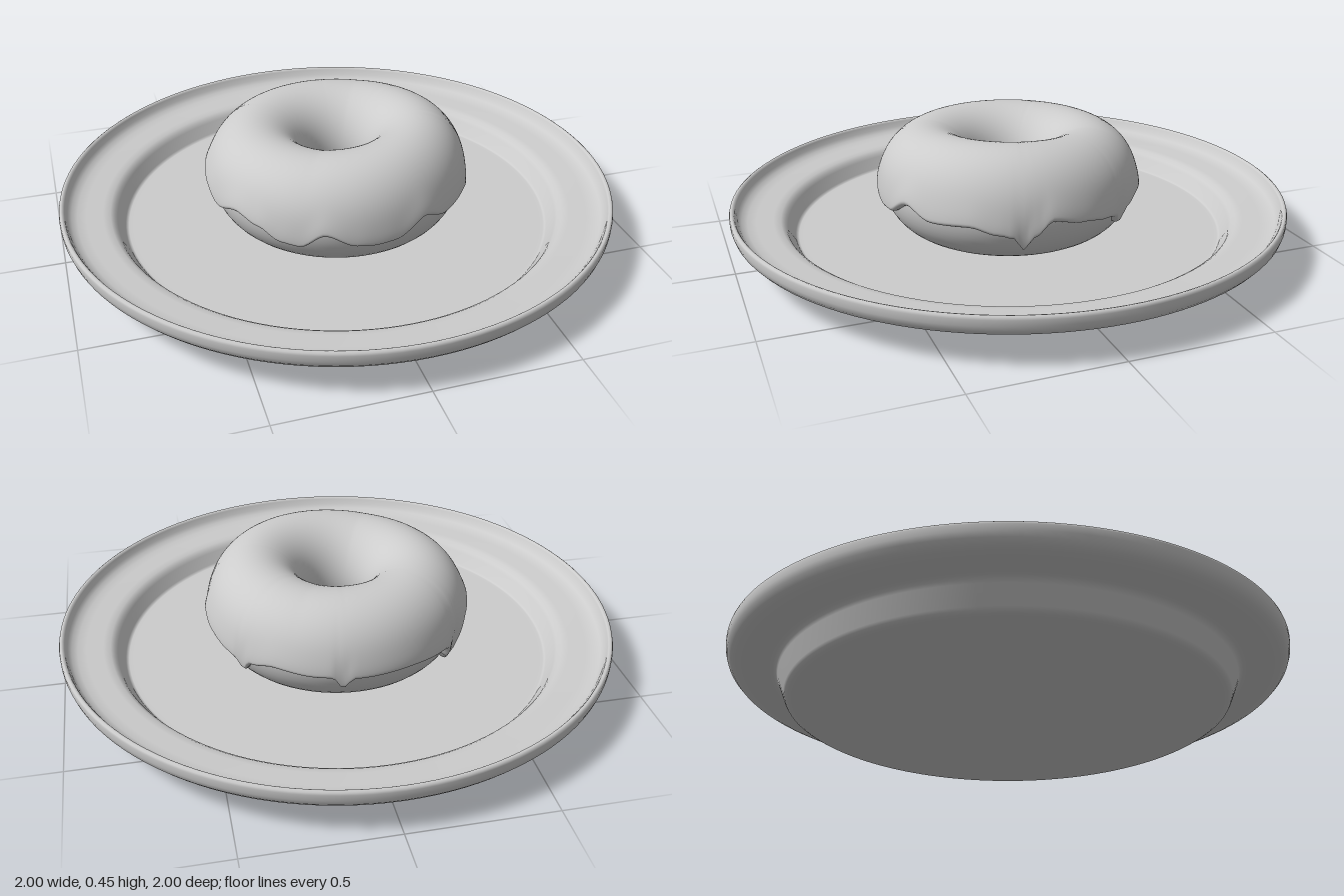
import * as THREE from 'three';

// Doughnut cross-section: ring radius, half width, centre height, half height
const RING = 0.29, HALF_W = 0.165, MID_Y = 0.235, HALF_H = 0.18;
const SEGMENTS = 180;

// Height of the icing's lower edge by angle from the front towards +x (degrees)
const icingEdge = [
  [0, 0.18], [8, 0.185], [23, 0.237], [36, 0.205], [54, 0.212], [66, 0.19], [72, 0.18], [76, 0.135],
  [80, 0.18], [88, 0.23], [102, 0.21], [116, 0.195], [121, 0.19], [125, 0.155], [130, 0.195], [142, 0.215],
  [160, 0.205], [167, 0.205], [171, 0.165], [176, 0.2], [200, 0.205], [222, 0.195], [226, 0.18],
  [230, 0.12], [234, 0.18], [244, 0.23], [257, 0.25], [270, 0.225], [282, 0.2], [298, 0.235],
  [310, 0.215], [320, 0.18], [328, 0.175], [339, 0.225], [352, 0.185], [360, 0.18],
];

function edgeHeight(theta) {
  const deg = THREE.MathUtils.radToDeg(theta);
  const i = Math.max(1, icingEdge.findIndex(([a]) => a >= deg));
  const [a0, h0] = icingEdge[i - 1], [a1, h1] = icingEdge[i];
  return THREE.MathUtils.lerp(h0, h1, THREE.MathUtils.smoothstep(deg, a0, a1));
}

// Point on the doughnut: theta around the ring, phi around the section, pushed out by offset
function ringPoint(theta, phi, offset) {
  const swell = 0.02 * Math.max(0, Math.cos(theta - 1.05)) * Math.max(0, Math.sin(phi));
  const r = RING + (HALF_W + offset) * Math.cos(phi);
  const y = MID_Y + (HALF_H + offset) * Math.sin(phi) + swell;
  return [r * Math.sin(theta), y, r * Math.cos(theta)];
}

// Smooth surface swept around the ring; section(theta, j) gives each point
function sweep(rows, closed, section) {
  const positions = [], index = [];
  for (let i = 0; i < SEGMENTS; i++) {
    for (let j = 0; j < rows; j++) positions.push(...section((i / SEGMENTS) * Math.PI * 2, j));
  }
  for (let i = 0; i < SEGMENTS; i++) {
    const next = (i + 1) % SEGMENTS;
    for (let j = 0; j < (closed ? rows : rows - 1); j++) {
      const k = (j + 1) % rows;
      const a = i * rows + j, b = next * rows + j, c = next * rows + k, d = i * rows + k;
      index.push(a, b, c, a, c, d);
    }
  }
  const geometry = new THREE.BufferGeometry();
  geometry.setAttribute('position', new THREE.Float32BufferAttribute(positions, 3));
  geometry.setIndex(index);
  geometry.computeVertexNormals();
  return geometry;
}

function makeDough() {
  const rows = 48;
  return sweep(rows, true, (theta, j) => ringPoint(theta, (j / rows) * Math.PI * 2, 0));
}

// Icing skin with a thick rounded lip at its wavy outer edge
function makeIcing() {
  const lipRows = 8, bodyRows = 44, lip = 0.1, end = Math.PI + 0.4;
  return sweep(lipRows + bodyRows, false, (theta, j) => {
    const start = Math.asin((edgeHeight(theta) - MID_Y) / HALF_H);
    const s = j < lipRows
      ? lip * (1 - Math.cos((j / lipRows) * Math.PI / 2))
      : lip + (end - start - lip) * Math.pow((j - lipRows) / (bodyRows - 1), 1.3);
    const round = Math.sqrt(Math.max(0, 1 - Math.pow(1 - Math.min(1, s / lip), 2)));
    const thickness = 0.015 + 0.009 * Math.exp(-Math.pow(s / 0.3, 2));
    const tail = THREE.MathUtils.smoothstep(end - start - s, 0, 0.15);
    return ringPoint(theta, start + s, thickness * round * tail - 0.002 * (1 - tail * round));
  });
}

// Plate profile from the centre underneath, round the rim, to the centre on top
function makePlate() {
  const profile = [
    [0, 0], [0.76, 0], [0.775, 0.001], [0.787, 0.008], [0.793, 0.018],
    [0.818, 0.08], [0.824, 0.092], [0.836, 0.099], [0.85, 0.1], [0.93, 0.1],
    [0.96, 0.104], [0.98, 0.113], [0.993, 0.128], [0.999, 0.147], [1, 0.168],
    [0.998, 0.176], [0.992, 0.18], [0.985, 0.178], [0.981, 0.172], [0.973, 0.153],
    [0.96, 0.14], [0.94, 0.132], [0.91, 0.128], [0.85, 0.126], [0.825, 0.122],
    [0.81, 0.112], [0.802, 0.1], [0.777, 0.062], [0.771, 0.056], [0.765, 0.055], [0.75, 0.055], [0, 0.055],
  ].map(([r, y]) => new THREE.Vector2(r, y));
  return new THREE.LatheGeometry(profile, 128);
}

export function createModel() {
  const model = new THREE.Group();
  model.name = 'doughnutOnPlate';
  const grey = new THREE.MeshStandardMaterial({ color: 0xcccccc });
  grey.name = 'lightGrey';

  const add = (name, geometry) => {
    const mesh = new THREE.Mesh(geometry, grey);
    mesh.name = name;
    model.add(mesh);
  };
  add('plate', makePlate());
  add('dough', makeDough());
  add('icing', makeIcing());
  return model;
}
